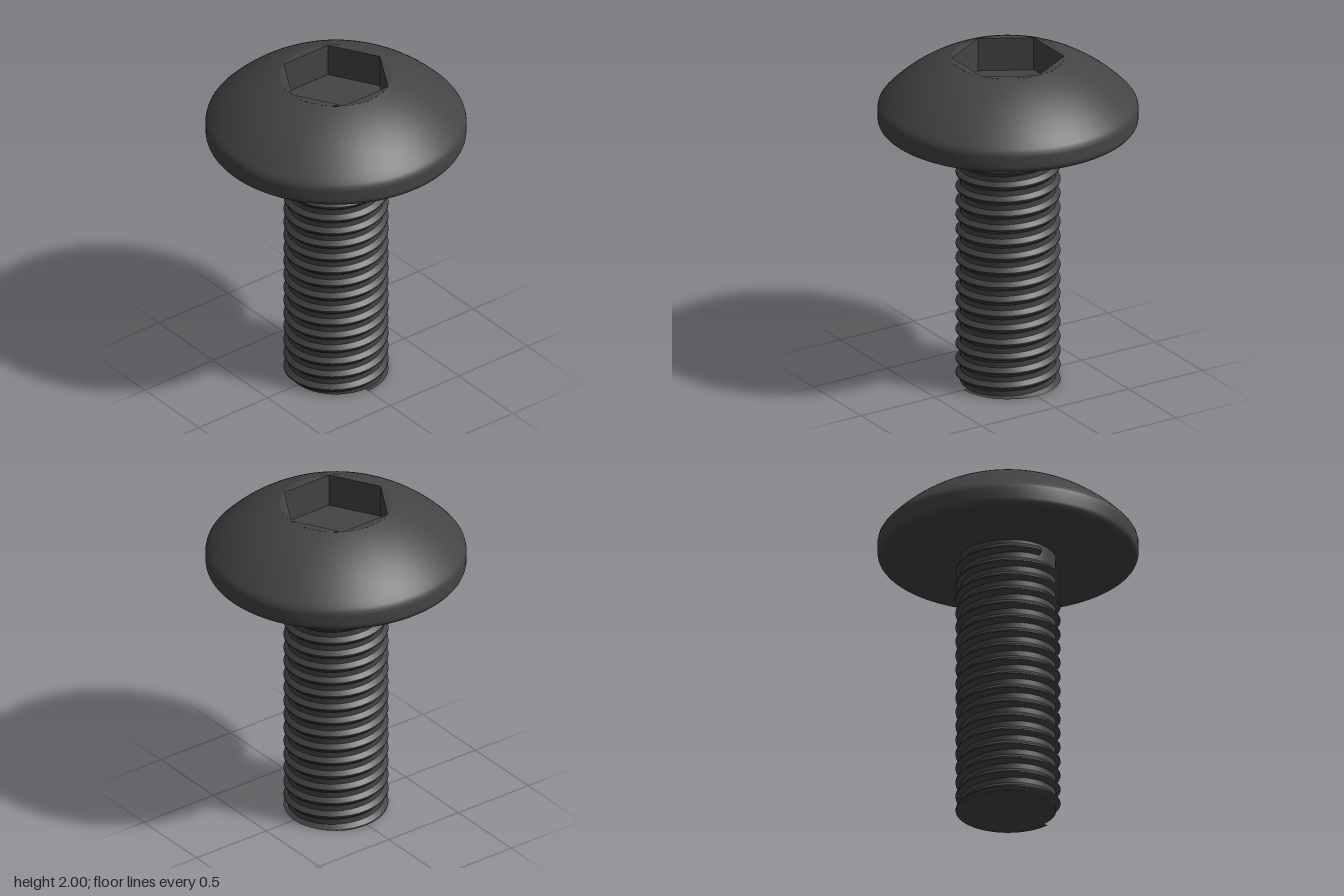
import * as THREE from 'three';
import { toCreasedNormals } from 'three/addons/utils/BufferGeometryUtils.js';

const HEAD_R = 0.747, HEAD_BOTTOM = 1.585, SOCKET_R = 0.32, SOCKET_DEPTH = 0.2;
const CORE_R = 0.275, CREST_R = 0.3, PITCH = 0.0889;

// Outer skin of the button head: flat underside, rounded rim, domed top
function headGeometry() {
  const pts = [new THREE.Vector2(0, HEAD_BOTTOM), new THREE.Vector2(0.69, HEAD_BOTTOM)];
  const fillet = 0.045;
  for (let i = 0; i <= 6; i++) {
    const a = -Math.PI / 2 + (i / 6) * Math.PI / 2;
    pts.push(new THREE.Vector2(HEAD_R - fillet + fillet * Math.cos(a), HEAD_BOTTOM + fillet + fillet * Math.sin(a)));
  }
  pts.push(new THREE.Vector2(HEAD_R, 1.69), new THREE.Vector2(0.742, 1.712));
  const centreY = 1.0676, R = 0.986;
  const a0 = Math.asin(0.73 / R), a1 = Math.asin(0.322 / R);
  for (let i = 0; i <= 16; i++) {
    const a = a0 + (a1 - a0) * i / 16;
    pts.push(new THREE.Vector2(R * Math.sin(a), centreY + R * Math.cos(a)));
  }
  return new THREE.LatheGeometry(pts, 96);
}

// Flat ring left between the dome and the hexagonal opening
function rimGeometry() {
  const shape = new THREE.Shape().absarc(0, 0, 0.322, 0, Math.PI * 2);
  const hex = [];
  for (let i = 0; i < 6; i++) {
    const a = Math.PI / 2 - i * Math.PI / 3;
    hex.push(new THREE.Vector2(SOCKET_R * Math.cos(a), SOCKET_R * Math.sin(a)));
  }
  shape.holes.push(new THREE.Path(hex));
  return new THREE.ShapeGeometry(shape, 48).rotateX(-Math.PI / 2);
}

// Right-handed helical ridge, trimmed flush with the tip of the shank
function threadGeometry() {
  const section = [[CORE_R - 0.003, -0.031], [CREST_R, -0.004], [CREST_R, 0.004], [CORE_R - 0.003, 0.031]];
  const perTurn = 60, turns = 17.75, steps = Math.round(perTurn * turns), n = section.length;
  const pos = [], idx = [];
  for (let i = 0; i <= steps; i++) {
    const a = (i / perTurn) * Math.PI * 2;
    const y = -0.035 + PITCH * i / perTurn;
    for (const [r, dy] of section) {
      pos.push(r * Math.cos(a), Math.max(0, y + dy), -r * Math.sin(a));
    }
  }
  for (let i = 0; i < steps; i++) {
    for (let j = 0; j < n - 1; j++) {
      const p = i * n + j, q = p + n;
      idx.push(p, q, p + 1, q, q + 1, p + 1);
    }
  }
  // Closing face where the thread runs out under the head
  const e = steps * n;
  idx.push(e, e + 2, e + 1, e, e + 3, e + 2);
  const g = new THREE.BufferGeometry();
  g.setAttribute('position', new THREE.Float32BufferAttribute(pos, 3));
  g.setIndex(idx);
  return toCreasedNormals(g, 0.5);
}

export function createModel() {
  const model = new THREE.Group();
  model.name = 'buttonHeadBolt';
  const color = 0x444444;
  const smooth = new THREE.MeshStandardMaterial({ color });
  const thin = new THREE.MeshStandardMaterial({ color, side: THREE.DoubleSide });
  const faceted = new THREE.MeshStandardMaterial({ color, side: THREE.DoubleSide, flatShading: true });

  const add = (name, geometry, material, y = 0) => {
    const mesh = new THREE.Mesh(geometry, material);
    mesh.name = name;
    mesh.position.y = y;
    model.add(mesh);
  };

  // Head and hex socket
  add('head', headGeometry(), smooth);
  add('headRim', rimGeometry(), smooth, 2);
  add('socketWalls', new THREE.CylinderGeometry(SOCKET_R, SOCKET_R, SOCKET_DEPTH, 6, 1, true), faceted, 2 - SOCKET_DEPTH / 2);
  add('socketFloor', new THREE.CircleGeometry(SOCKET_R, 6, Math.PI / 2).rotateX(-Math.PI / 2), smooth, 2 - SOCKET_DEPTH);

  // Shank and thread
  add('shank', new THREE.CylinderGeometry(CORE_R, CORE_R, HEAD_BOTTOM + 0.005, 64), smooth, (HEAD_BOTTOM + 0.005) / 2);
  add('thread', threadGeometry(), thin);
  return model;
}
